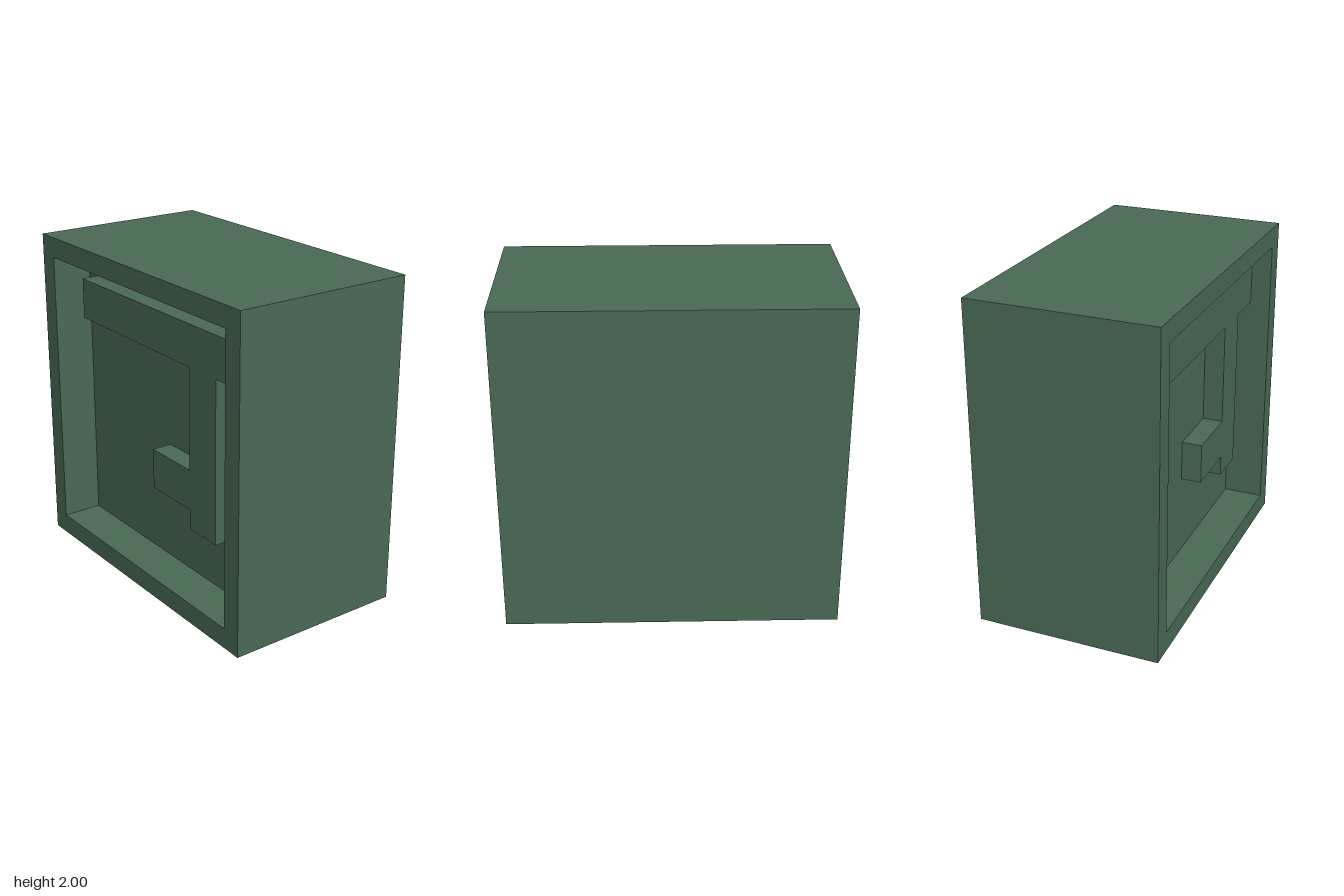
import * as THREE from 'three';

const U = 0.125; // grid unit: the block is 16 x 16 x 9 units

function polygon(points, Type = THREE.Shape) {
  return new Type(points.map(([x, y]) => new THREE.Vector2(x * U, y * U)));
}

function rect(x0, y0, x1, y1) {
  return [[x0, y0], [x1, y0], [x1, y1], [x0, y1]];
}

export function createModel() {
  const group = new THREE.Group();
  const green = new THREE.MeshStandardMaterial({ color: 0x4a6a55 });
  green.name = 'mossGreen';

  // Extrudes a shape forward from zBack, both in units
  const slab = (name, shape, zBack, depth) => {
    const geometry = new THREE.ExtrudeGeometry(shape, { depth: depth * U, bevelEnabled: false });
    const mesh = new THREE.Mesh(geometry, green);
    mesh.name = name;
    mesh.position.z = zBack * U;
    group.add(mesh);
  };

  // Solid body behind the recess
  slab('body', polygon(rect(-8, 0, 8, 16)), -4.5, 7);

  // Rim around the recess
  const rim = polygon(rect(-8, 0, 8, 16));
  rim.holes.push(polygon(rect(-7, 1, 7, 15).reverse(), THREE.Path));
  slab('rim', rim, 2.5, 2);

  // Raised relief: top bar joined to the rim, stem, and short side arm
  slab('relief', polygon([
    [-6, 14], [-6, 12], [3, 12], [3, 7], [0, 7], [0, 5],
    [3, 5], [3, 4], [5, 4], [5, 12], [7, 12], [7, 14],
  ]), 2.5, 1);

  return group;
}
